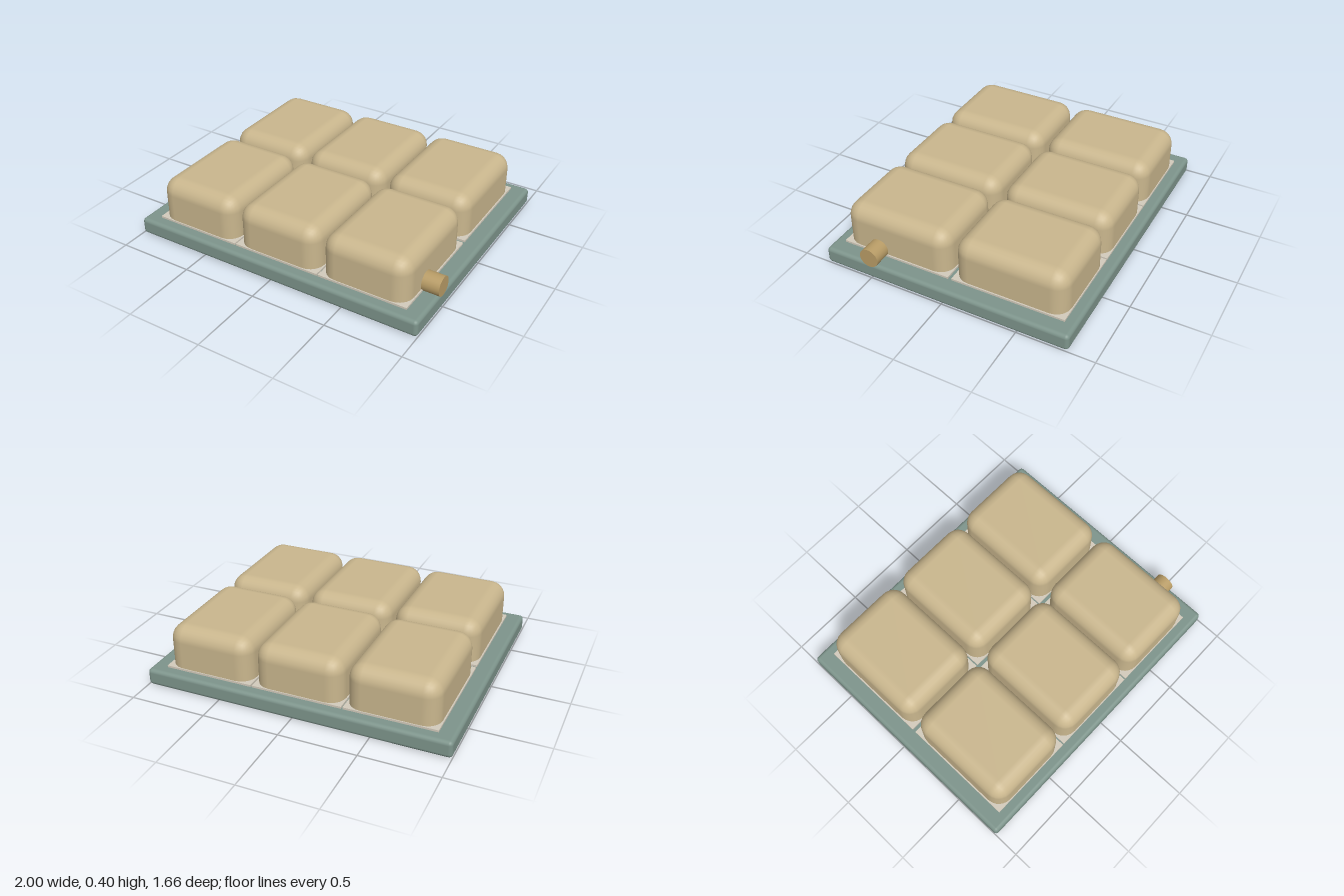
import * as THREE from 'three';
import { RoundedBoxGeometry } from 'three/addons/geometries/RoundedBoxGeometry.js';

export function createModel() {
  const model = new THREE.Group();
  const mat = (color) => new THREE.MeshStandardMaterial({ color });
  const baseMat = mat(0x7d948b);
  const padMat = mat(0xd2cabb);
  const cushionMat = mat(0xc9b68d);
  const knobMat = mat(0xb89c66);

  function add(name, geometry, material, x, y, z) {
    const mesh = new THREE.Mesh(geometry, material);
    mesh.name = name;
    mesh.position.set(x, y, z);
    model.add(mesh);
    return mesh;
  }

  // Tray the blocks sit on
  add('baseTray', new RoundedBoxGeometry(2, 0.11, 1.66, 3, 0.025), baseMat, 0, 0.055, 0);

  // Two rows of three soft blocks, each on a thin pad
  const padGeo = new THREE.BoxGeometry(0.59, 0.04, 0.745);
  const blockGeo = new RoundedBoxGeometry(0.573, 0.382, 0.733, 3, 0.1);
  for (const z of [-0.385, 0.385]) {
    for (const x of [-0.6, 0, 0.6]) {
      add('pad', padGeo, padMat, x, 0.103, z);
      add('cushionBlock', blockGeo, cushionMat, x, 0.21, z);
    }
  }

  // Round peg on the left side of the front row
  const knob = add('sidePeg', new THREE.CylinderGeometry(0.064, 0.064, 0.14, 24), knobMat, 0.93, 0.152, 0.505);
  knob.rotation.z = Math.PI / 2;

  return model;
}
